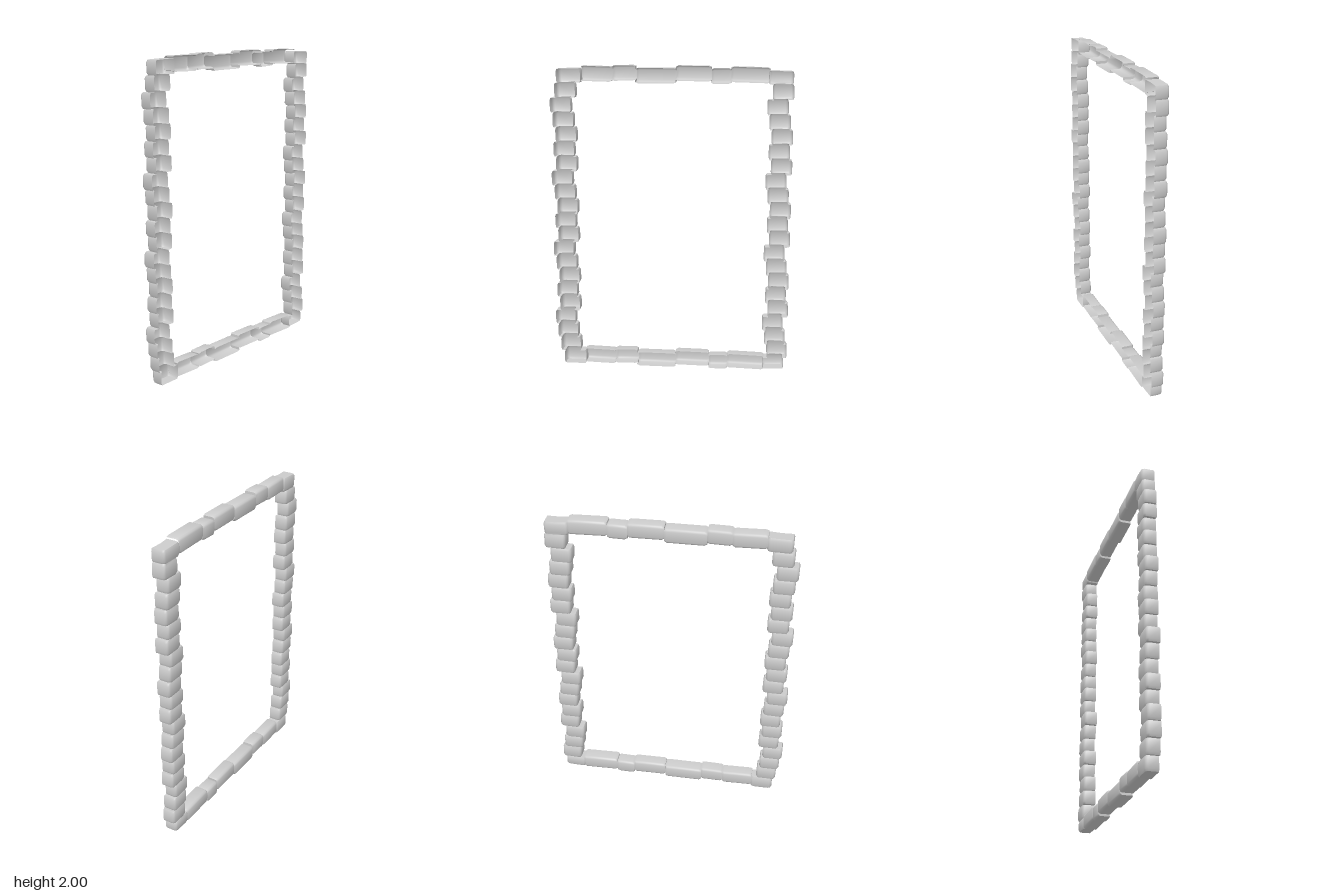
import * as THREE from 'three';
import { toCreasedNormals } from 'three/addons/utils/BufferGeometryUtils.js';

const material = new THREE.MeshStandardMaterial({ color: 0xcccccc, side: THREE.DoubleSide });

// Channel section of a stone: rounded back, open towards +x. Points are [u, x].
function channel(u0, u1, back, rim) {
  const r = 0.016, k = 0.3 * r;
  return [
    [u0, rim], [u0, back + r], [u0 + k, back + k], [u0 + r, back],
    [u1 - r, back], [u1 - k, back + k], [u1, back + r], [u1, rim],
  ];
}

// Lofts a row of stones {v0, v1, u0, u1, tilt}: v runs along the row, u across it.
// place(u, v, x) turns a row point into a model point.
function stoneRow(name, stones, place, capped) {
  const positions = [], index = [];
  let sections = 0;
  const addSection = (points, s, v) => {
    const um = (s.u0 + s.u1) / 2, vm = (s.v0 + s.v1) / 2;
    for (const [u, x] of points) {
      positions.push(...place(u - s.tilt * (v - vm), v + s.tilt * (u - um), x));
    }
    sections++;
  };
  // end wall: a section squeezed onto its middle line
  const addCap = (s, v) => {
    const um = (s.u0 + s.u1) / 2;
    addSection(channel(s.u0, s.u1, -0.042, 0.034).map(([, x]) => [um, x]), s, v);
  };

  if (capped) addCap(stones[0], stones[0].v0);
  stones.forEach((s, i) => {
    const edge = 0.015 * Math.sign(s.v1 - s.v0);
    const rim = 0.033 + (i % 3) * 0.003;
    // worn ends: slightly smaller than the middle
    const worn = channel(s.u0 + 0.006, s.u1 - 0.006, -0.041, rim);
    const full = channel(s.u0, s.u1, -0.047, rim);
    addSection(worn, s, s.v0);
    addSection(full, s, s.v0 + edge);
    addSection(full, s, s.v1 - edge);
    addSection(worn, s, s.v1);
  });
  const last = stones[stones.length - 1];
  if (capped) addCap(last, last.v1);

  const n = 8;
  for (let j = 0; j < sections - 1; j++) {
    for (let k = 0; k < n - 1; k++) {
      const a = j * n + k, b = a + 1, c = b + n, d = a + n;
      index.push(a, b, c, a, c, d);
    }
  }
  const geometry = new THREE.BufferGeometry();
  geometry.setAttribute('position', new THREE.Float32BufferAttribute(positions, 3));
  geometry.setIndex(index);
  const mesh = new THREE.Mesh(toCreasedNormals(geometry, 0.9), material);
  mesh.name = name;
  return mesh;
}

// Jamb: stacked stones stepping in and out between two corner stones
function createJamb(name, shift, bottomCorner, topCorner) {
  // outer edge of each stone, bottom to top
  const outer = [0.741, 0.757, 0.773, 0.741, 0.757, 0.741, 0.757, 0.773, 0.741, 0.757,
    0.741, 0.757, 0.773, 0.741, 0.757, 0.741, 0.757, 0.773, 0.741];
  const pitch = 0.0945, start = 0.092;
  const stones = outer.map((z, i) => ({
    v0: start + i * pitch,
    v1: start + (i + 1) * pitch,
    u0: z - 0.133 + shift,
    u1: z + shift,
    tilt: [-0.03, 0.01, -0.02][i % 3],
  }));
  return stoneRow(name, [bottomCorner, ...stones, topCorner], (u, v, x) => [x, v, u], true);
}

// Rail: six long stones, the same above and below
function createRail(name, y) {
  const joints = [0.578, 0.372, 0.222, -0.033, -0.255, -0.378, -0.62];
  const lift = [0.009, 0.015, 0, 0.015, 0, 0.009];
  const tilts = [-0.025, 0.02, 0, -0.01, 0.02, -0.025];
  const stones = lift.map((h, i) => ({
    v0: joints[i], v1: joints[i + 1], u0: y + h, u1: y + h + 0.094, tilt: tilts[i],
  }));
  return stoneRow(name, stones, (u, v, x) => [x, u, v], false);
}

export function createModel() {
  const frame = new THREE.Group();
  frame.name = 'stoneFrame';
  frame.add(
    createJamb('frontJamb', 0,
      { v0: 0.002, v1: 0.092, u0: 0.572, u1: 0.72, tilt: 0 },
      { v0: 1.888, v1: 1.977, u0: 0.572, u1: 0.727, tilt: -0.03 }),
    createJamb('backJamb', -1.378,
      { v0: 0.017, v1: 0.092, u0: -0.75, u1: -0.61, tilt: -0.04 },
      { v0: 1.888, v1: 1.97, u0: -0.765, u1: -0.612, tilt: 0.03 }),
    createRail('topRail', 1.889),
    createRail('bottomRail', 0.003),
  );
  return frame;
}
